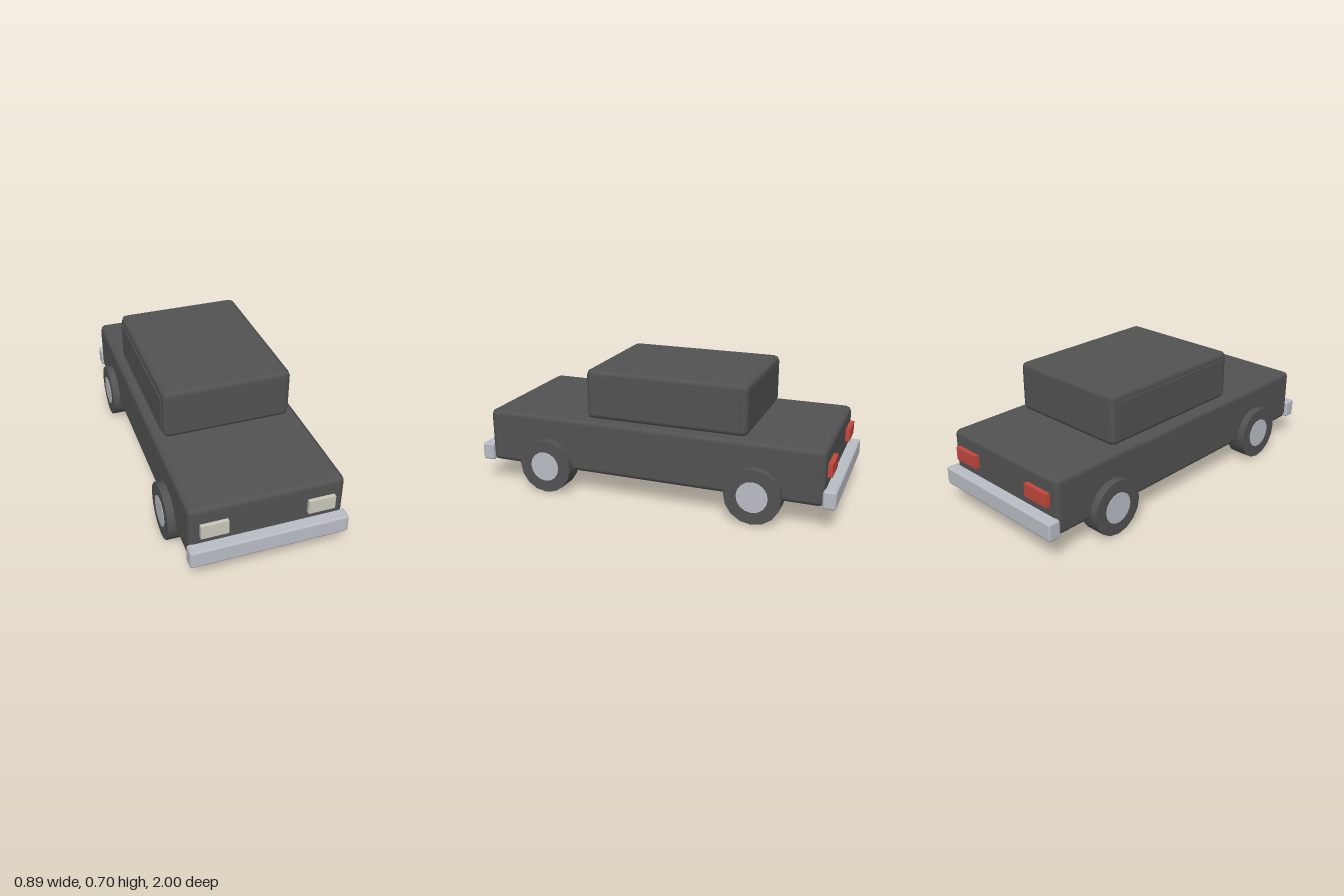
import * as THREE from 'three';
import { RoundedBoxGeometry } from 'three/addons/geometries/RoundedBoxGeometry.js';

function material(name, color) {
  const m = new THREE.MeshStandardMaterial({ color });
  m.name = name;
  return m;
}

export function createModel() {
  const car = new THREE.Group();
  car.name = 'car';
  const charcoal = material('charcoal', 0x525252);
  const chrome = material('chrome', 0xb9bdc4);
  const cream = material('cream', 0xcac7b9);
  const red = material('red', 0xc2483e);

  const add = (name, geometry, mat, x, y, z) => {
    const mesh = new THREE.Mesh(geometry, mat);
    mesh.name = name;
    mesh.position.set(x, y, z);
    car.add(mesh);
    return mesh;
  };
  // box with softly chamfered edges
  const rounded = (w, h, d, r) => new RoundedBoxGeometry(w, h, d, 1, r);

  // body and cabin
  add('body', rounded(0.8, 0.3, 1.88, 0.03), charcoal, 0, 0.278, 0);
  add('cabin', rounded(0.694, 0.274, 0.895, 0.03), charcoal, 0, 0.561, -0.078);

  // bumpers
  add('frontBumper', rounded(0.82, 0.097, 0.07, 0.012), chrome, 0, 0.177, 0.965);
  add('rearBumper', rounded(0.82, 0.097, 0.07, 0.012), chrome, 0, 0.177, -0.965);

  // wheels turn on the x axis
  const tyre = new THREE.CylinderGeometry(0.15, 0.15, 0.11, 16).rotateZ(Math.PI / 2);
  const hub = new THREE.CylinderGeometry(0.083, 0.083, 0.116, 16).rotateZ(Math.PI / 2);

  for (const [side, s] of [['left', 1], ['right', -1]]) {
    // side window plate
    add(side + 'Window', new THREE.BoxGeometry(0.009, 0.2, 0.82), charcoal, s * 0.3485, 0.555, -0.075);

    // lights
    add(side + 'Headlight', new THREE.BoxGeometry(0.14, 0.075, 0.03), cream, s * 0.274, 0.304, 0.946);
    add(side + 'TailLight', new THREE.BoxGeometry(0.16, 0.07, 0.03), red, s * 0.272, 0.313, -0.949);

    // tyres with hubs showing on both faces
    for (const [end, z] of [['Front', 0.587], ['Rear', -0.585]]) {
      add(side + end + 'Tyre', tyre, charcoal, s * 0.386, 0.151, z);
      add(side + end + 'Hub', hub, chrome, s * 0.386, 0.151, z);
    }
  }
  return car;
}
